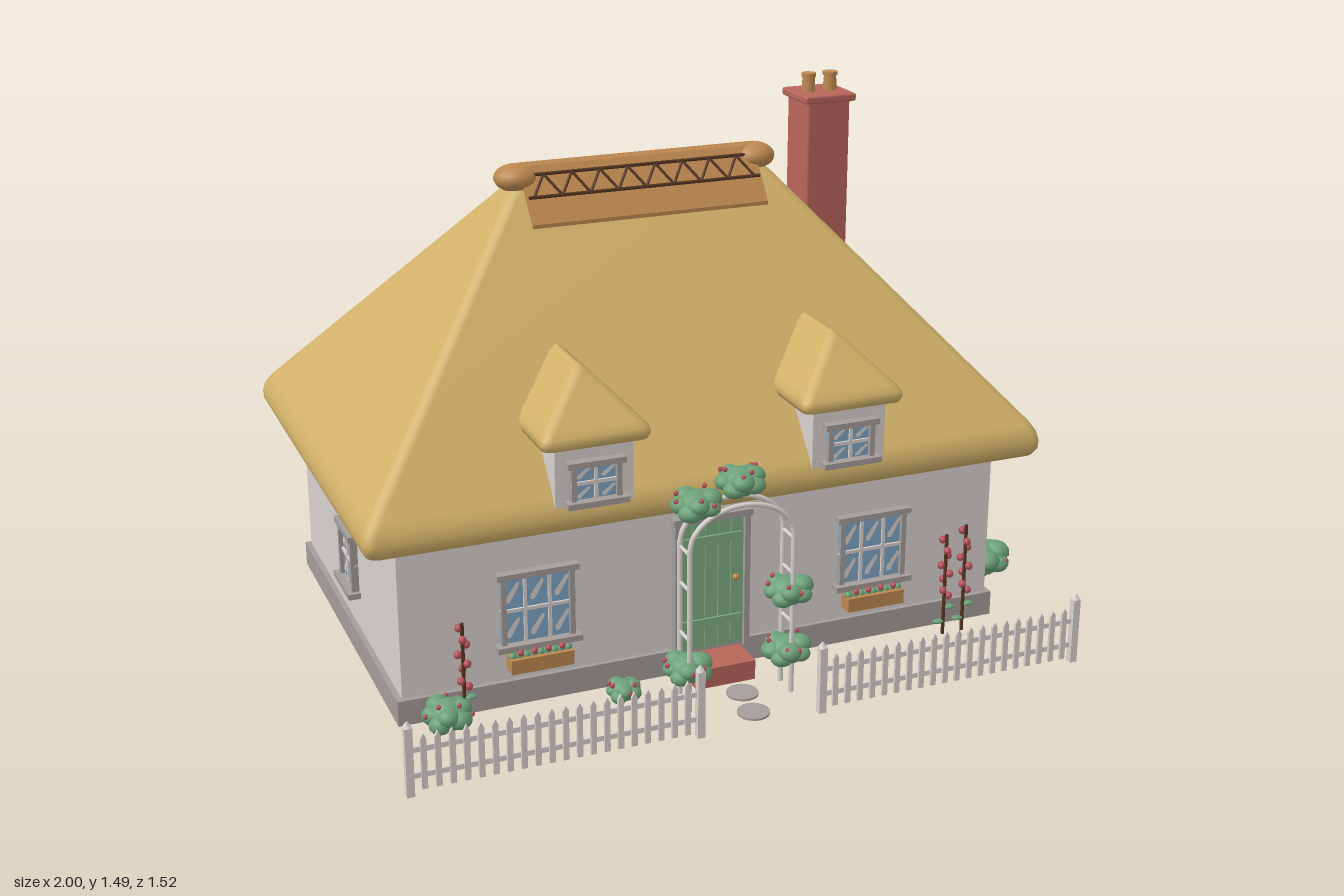
import * as THREE from 'three';
import { mergeGeometries } from 'three/addons/utils/BufferGeometryUtils.js';
import { RoundedBoxGeometry } from 'three/addons/geometries/RoundedBoxGeometry.js';

const paint = (name, color) => Object.assign(new THREE.MeshStandardMaterial({ color }), { name });
const thatch = paint('thatch', 0xd0b068), straw = paint('straw', 0xbd8850), twig = paint('dark twig', 0x52331f);
const plaster = paint('plaster', 0xd8d2ce), stone = paint('stone grey', 0xa39d9a), brick = paint('brick', 0xb9655a);
const leaf = paint('leaf green', 0x6ba077), doorGreen = paint('door green', 0x7dab82);
const glass = paint('glass blue', 0x7da3c2), bloom = paint('bloom red', 0xb8505c);

const CX = -0.05, CZ = -0.115; // centre of the house

let seed = 7;
const rnd = () => (seed = (seed * 16807) % 2147483647) / 2147483647;

function add(parent, name, geo, mat, x = 0, y = 0, z = 0) {
  const m = new THREE.Mesh(geo, mat);
  m.name = name;
  m.position.set(x, y, z);
  parent.add(m);
  return m;
}
const box = (p, name, mat, w, h, d, x, y, z) => add(p, name, new THREE.BoxGeometry(w, h, d), mat, x, y, z);

function group(parent, name, x = 0, y = 0, z = 0, ry = 0) {
  const g = new THREE.Group();
  g.name = name;
  g.position.set(x, y, z);
  g.rotation.y = ry;
  parent.add(g);
  return g;
}

// Straight rod between two points
function rod(parent, name, mat, a, b, r) {
  const A = new THREE.Vector3(...a), B = new THREE.Vector3(...b), d = B.clone().sub(A);
  const m = add(parent, name, new THREE.CylinderGeometry(r, r, d.length(), 8), mat);
  m.position.copy(A).lerp(B, 0.5);
  m.quaternion.setFromUnitVectors(new THREE.Vector3(0, 1, 0), d.normalize());
}

// Hipped thatch: rounded rectangles stacked by [inset, y]
function hipRoof(hx, hz, profile, radius) {
  const pos = [], idx = [], seg = 4, n = 4 * (seg + 1);
  for (const [inset, y] of profile) {
    const w = hx - inset, d = hz - inset, r = Math.min(radius, w, d);
    for (let c = 0; c < 4; c++) for (let s = 0; s <= seg; s++) {
      const a = (c + s / seg) * Math.PI / 2;
      const sx = c === 0 || c === 3 ? 1 : -1, sz = c < 2 ? 1 : -1;
      pos.push(sx * (w - r) + r * Math.cos(a), y, sz * (d - r) + r * Math.sin(a));
    }
  }
  const last = profile.length - 1;
  for (let k = 0; k < last; k++) for (let i = 0; i < n; i++) {
    const a = k * n + i, b = k * n + (i + 1) % n;
    idx.push(a, a + n, b, b, a + n, b + n);
  }
  const lo = pos.length / 3, hi = lo + 1;
  pos.push(0, profile[0][1], 0, 0, profile[last][1], 0);
  for (let i = 0; i < n; i++) {
    const j = (i + 1) % n;
    idx.push(lo, i, j, hi, last * n + j, last * n + i);
  }
  const g = new THREE.BufferGeometry();
  g.setAttribute('position', new THREE.Float32BufferAttribute(pos, 3));
  g.setIndex(idx);
  g.computeVertexNormals();
  return g;
}

// Window facing +z, centred on its own origin
function makeWindow(parent, name, w, h, cols, x, y, z, ry = 0) {
  const g = group(parent, name, x, y, z, ry), t = 0.014;
  box(g, 'glass', glass, w, h, 0.008, 0, 0, 0.004);
  for (const s of [-1, 1]) box(g, 'jamb', stone, t, h, 0.02, s * (w - t) / 2, 0, 0.01);
  box(g, 'lintel', stone, w + 0.02, 0.016, 0.026, 0, h / 2, 0.013);
  box(g, 'sill', stone, w + 0.03, 0.016, 0.034, 0, -h / 2, 0.017);
  for (let i = 1; i < cols; i++) box(g, 'mullion', plaster, 0.009, h, 0.014, w * (i / cols - 0.5), 0, 0.007);
  box(g, 'crossbar', plaster, w, 0.009, 0.014, 0, 0, 0.007);
  // pale glints, one per pane
  const pw = w / cols * 0.55, ph = h / 2 * 0.55;
  const glint = new THREE.ShapeGeometry(new THREE.Shape([[-pw / 2, -ph / 2], [-pw / 5, -ph / 2], [pw / 2, ph / 3], [pw / 2, ph / 2], [pw / 3, ph / 2], [-pw / 2, -ph / 4]].map(p => new THREE.Vector2(...p))));
  for (let i = 0; i < cols; i++) for (const s of [-1, 1]) add(g, 'glint', glint, plaster, w * ((i + 0.5) / cols - 0.5), s * h / 4, 0.0095);
}

// Lumpy bush with a few blossoms
function bush(parent, x, y, z, rx, ry, rz) {
  const g = group(parent, 'bush', x, y, z), lumps = [new THREE.SphereGeometry(0.72, 14, 10)];
  for (let i = 0; i < 9; i++) {
    const a = i * 2.4, v = -0.4 + i / 9, s = Math.sqrt(1 - v * v) * 0.55, r = 0.38 + rnd() * 0.1;
    lumps.push(new THREE.SphereGeometry(r, 12, 8).translate(s * Math.cos(a), v * 0.65, s * Math.sin(a)));
  }
  add(g, 'foliage', mergeGeometries(lumps).scale(rx, ry, rz), leaf);
  for (let i = 0; i < 6; i++) {
    const a = i * 1.9 + x, v = 0.1 + rnd() * 0.7, s = Math.sqrt(1 - v * v) * 0.9;
    add(g, 'blossom', new THREE.SphereGeometry(0.007, 6, 5), bloom, s * rx * Math.cos(a), v * ry * 0.95, s * rz * Math.sin(a));
  }
}

function dormer(parent, x, z, ry) {
  const g = group(parent, 'dormer', x, 0, z, ry);
  const eave = [[0.025, 0.73], [0.006, 0.735], [0, 0.75], [0.004, 0.765], [0.018, 0.782], [0.125, 0.893], [0.143, 0.905]];
  add(g, 'dormerThatch', hipRoof(0.147, 0.25, eave, 0.025), thatch, 0, 0, -0.25);
  box(g, 'dormerWall', plaster, 0.21, 0.17, 0.28, 0, 0.655, -0.175);
  makeWindow(g, 'dormerWindow', 0.135, 0.105, 2, 0, 0.635, -0.035);
}

function fence(parent, x0, x1) {
  const g = group(parent, 'fence', 0, 0, 0.75), n = 21, w = 0.0075;
  const shape = new THREE.Shape([[-w, 0.015], [w, 0.015], [w, 0.15], [0, 0.165], [-w, 0.15]].map(p => new THREE.Vector2(...p)));
  const picket = new THREE.ExtrudeGeometry(shape, { depth: 0.008, bevelEnabled: false });
  for (let i = 1; i < n; i++) add(g, 'picket', picket, plaster, x0 + (x1 - x0) * i / n, 0, 0);
  for (const y of [0.05, 0.12]) box(g, 'rail', plaster, x1 - x0, 0.014, 0.008, (x0 + x1) / 2, y, -0.004);
  for (const x of [x0, x1]) {
    box(g, 'post', plaster, 0.02, 0.185, 0.02, x, 0.0925, 0);
    add(g, 'postCap', new THREE.ConeGeometry(0.014, 0.018, 4).rotateY(Math.PI / 4), plaster, x, 0.194, 0);
  }
}

export function createModel() {
  const root = new THREE.Group();
  root.name = 'cottage';

  // Walls and roof
  box(root, 'plinth', stone, 1.73, 0.07, 1.065, CX, 0.035, CZ);
  box(root, 'walls', plaster, 1.7, 0.46, 1.04, CX, 0.295, CZ);
  const eave = [[0.035, 0.5], [0.012, 0.506], [0.001, 0.525], [0, 0.545], [0.006, 0.57], [0.022, 0.596], [0.56, 1.225], [0.585, 1.25], [0.612, 1.265]];
  add(root, 'mainThatch', hipRoof(0.95, 0.62, eave, 0.03), thatch, CX, 0, CZ);
  dormer(root, -0.405, 0.535, 0);
  dormer(root, 0.305, 0.535, 0);
  dormer(root, 0.06, -0.765, Math.PI);

  // Ridge cap with twig lacing
  const ridge = group(root, 'ridge', CX, 0, CZ);
  const capShape = new THREE.Shape([[-0.12, 1.165], [-0.12, 1.135], [0, 1.25], [0.12, 1.135], [0.12, 1.165], [0.016, 1.3], [0, 1.308], [-0.016, 1.3]].map(p => new THREE.Vector2(...p)));
  add(ridge, 'ridgeCap', new THREE.ExtrudeGeometry(capShape, { depth: 0.68, bevelEnabled: false }).translate(0, 0, -0.34).rotateY(Math.PI / 2), straw);
  for (const s of [-1, 1]) {
    const at = (x, d) => [x, 1.322 - 1.3 * d, s * d];
    for (const d of [0.033, 0.073]) rod(ridge, 'ridgeRod', twig, at(-0.335, d), at(0.335, d), 0.005);
    for (let i = 0; i < 16; i++) {
      const x = -0.32 + i * 0.04;
      rod(ridge, 'ridgeLacing', twig, at(x, i % 2 ? 0.033 : 0.073), at(x + 0.04, i % 2 ? 0.073 : 0.033), 0.004);
    }
    add(ridge, 'ridgeEnd', new THREE.SphereGeometry(1, 20, 14).scale(0.06, 0.037, 0.06), straw, s * 0.347, 1.268, 0);
  }

  // Chimney
  const chimney = group(root, 'chimney', 0.495, 0, -0.111);
  add(chimney, 'stack', new RoundedBoxGeometry(0.13, 0.46, 0.132, 2, 0.008), brick, 0, 1.19, 0);
  add(chimney, 'stackCap', new RoundedBoxGeometry(0.155, 0.022, 0.157, 2, 0.006), brick, 0, 1.425, 0);
  for (const s of [-1, 1]) {
    add(chimney, 'pot', new THREE.CylinderGeometry(0.017, 0.02, 0.05, 14), straw, s * 0.033, 1.458, 0);
    add(chimney, 'potRim', new THREE.CylinderGeometry(0.021, 0.021, 0.01, 14), straw, s * 0.033, 1.482, 0);
  }

  // Windows, and flower boxes on the front
  for (const x of [-0.535, 0.43]) {
    makeWindow(root, 'frontWindow', 0.2, 0.2, 3, x, 0.27, 0.405);
    const planter = group(root, 'flowerBox', x, 0.125, 0.43);
    box(planter, 'trough', straw, 0.17, 0.04, 0.045, 0, 0, 0);
    for (let i = 0; i < 9; i++) {
      const px = -0.075 + i * 0.0188;
      add(planter, 'greenery', new THREE.SphereGeometry(0.012, 8, 6), leaf, px, 0.022, 0);
      add(planter, 'flower', new THREE.SphereGeometry(0.009, 8, 6), bloom, px, 0.034, i % 2 ? 0.01 : -0.006);
    }
  }
  makeWindow(root, 'sideWindow', 0.145, 0.165, 2, 0.8, 0.26, 0.057, Math.PI / 2);
  makeWindow(root, 'sideWindow', 0.145, 0.165, 2, -0.9, 0.26, -0.09, -Math.PI / 2);
  makeWindow(root, 'backWindow', 0.14, 0.165, 2, 0.41, 0.265, -0.635, Math.PI);
  makeWindow(root, 'backWindow', 0.195, 0.19, 3, -0.53, 0.265, -0.635, Math.PI);

  // Door
  const door = group(root, 'door', CX, 0, 0.405);
  for (let i = 0; i < 5; i++) box(door, 'plank', doorGreen, 0.035, 0.37, 0.014, (i - 2) * 0.037, 0.25, 0.008);
  box(door, 'doorBacking', doorGreen, 0.185, 0.37, 0.008, 0, 0.25, 0.004);
  for (const y of [0.14, 0.38]) box(door, 'ledge', doorGreen, 0.17, 0.022, 0.008, 0, y, 0.017);
  for (const s of [-1, 1]) box(door, 'doorJamb', stone, 0.016, 0.39, 0.026, s * 0.1, 0.25, 0.013);
  box(door, 'doorLintel', stone, 0.225, 0.018, 0.032, 0, 0.446, 0.016);
  add(door, 'knob', new THREE.SphereGeometry(0.01, 10, 8), straw, 0.068, 0.26, 0.022);
  box(door, 'doorstep', brick, 0.17, 0.055, 0.115, 0, 0.0275, 0.06);
  for (const [x, z] of [[-0.045, 0.69], [-0.03, 0.585]]) add(root, 'steppingStone', new THREE.CylinderGeometry(0.043, 0.043, 0.006, 18), stone, x, 0.003, z);

  // Garden arch with climbing foliage
  const arch = group(root, 'arch', CX, 0, 0.585);
  for (const z of [-0.033, 0.033]) {
    const pts = Array.from({ length: 13 }, (_, i) => new THREE.Vector3(-0.145 * Math.cos(i * Math.PI / 12), 0.45 + 0.105 * Math.sin(i * Math.PI / 12), z));
    add(arch, 'hoop', new THREE.TubeGeometry(new THREE.CatmullRomCurve3(pts), 30, 0.007, 8), plaster);
    for (const s of [-1, 1]) rod(arch, 'archPost', plaster, [s * 0.145, 0, z], [s * 0.145, 0.455, z], 0.0075);
  }
  for (const s of [-1, 1]) for (const y of [0.2, 0.34, 0.44]) rod(arch, 'rung', plaster, [s * 0.145, y, -0.033], [s * 0.145, y, 0.033], 0.005);
  for (const [x, y] of [[-0.165, 0.565], [-0.045, 0.61], [0.095, 0.28], [-0.19, 0.11], [0.095, 0.11]]) bush(root, x, y, 0.59, 0.07, 0.053, 0.07);

  // Garden bushes
  bush(root, 0.915, 0.063, 0.195, 0.085, 0.068, 0.09);
  bush(root, 0.915, 0.063, -0.375, 0.085, 0.068, 0.09);
  bush(root, -0.805, 0.053, 0.495, 0.07, 0.058, 0.07);
  bush(root, -0.335, 0.036, 0.51, 0.05, 0.04, 0.05);

  // Tall flowering stalks
  for (const [x, h] of [[-0.755, 0.29], [0.63, 0.3], [0.69, 0.32]]) {
    const stalk = group(root, 'hollyhock', x, 0, 0.475);
    rod(stalk, 'stem', twig, [0, 0, 0], [0, h, 0], 0.005);
    for (let i = 0; i < 8; i++) {
      const a = i * 2.4, y = h * (0.38 + i * 0.08);
      add(stalk, 'flower', new THREE.SphereGeometry(0.011, 8, 6), bloom, 0.013 * Math.cos(a), y, 0.013 * Math.sin(a));
    }
    for (const s of [-1, 1]) add(stalk, 'leaves', new THREE.SphereGeometry(1, 8, 6).scale(0.018, 0.006, 0.012), leaf, s * 0.016, 0.06 + s * 0.02, 0);
  }

  fence(root, -0.975, -0.22);
  fence(root, 0.12, 0.875);
  return root;
}
